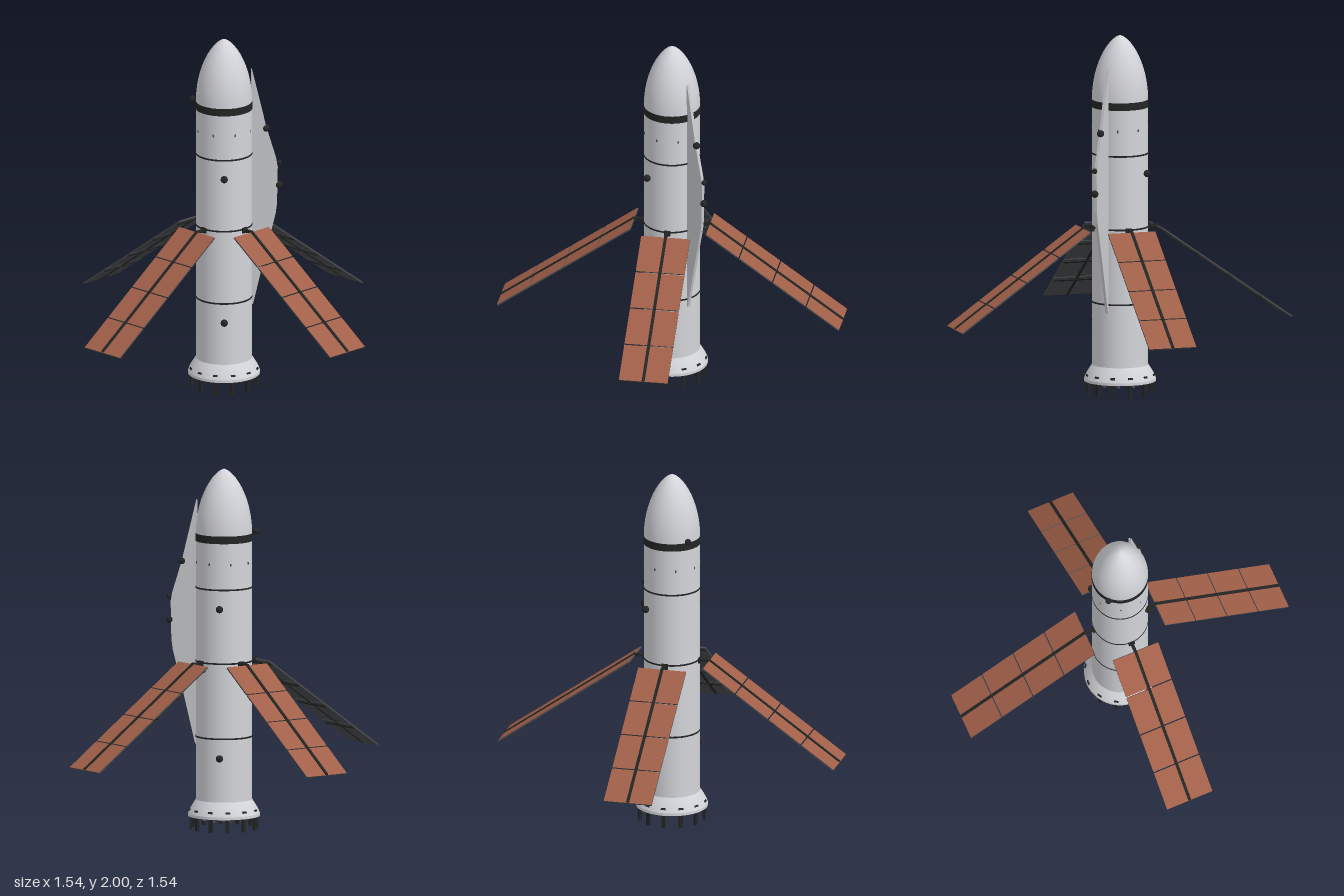
import * as THREE from 'three';

const mat = (name, color, side = THREE.FrontSide) => {
  const m = new THREE.MeshStandardMaterial({ color, side });
  m.name = name;
  return m;
};

export function createModel() {
  const root = new THREE.Group();
  root.name = 'rocket';
  const hull = mat('hull grey', 0xd4d5da);
  const finGrey = mat('fin grey', 0xc8c9cc);
  const black = mat('black', 0x232525);
  const dark = mat('dark grey', 0x4a4c50);
  const copper = mat('panel copper', 0xa05f48);
  const R = 0.155;

  const add = (parent, name, geo, material, x = 0, y = 0, z = 0) => {
    const m = new THREE.Mesh(geo, material);
    m.name = name;
    m.position.set(x, y, z);
    parent.add(m);
    return m;
  };
  const lathe = (pts) => new THREE.LatheGeometry(pts.map(([r, y]) => new THREE.Vector2(r, y)), 64);
  // n copies around the vertical axis, each in a turned holder
  const around = (n, start, build) => {
    for (let i = 0; i < n; i++) {
      const g = new THREE.Group();
      g.rotation.y = start + (i * Math.PI * 2) / n;
      build(g);
      root.add(g);
    }
  };
  const D = Math.PI / 180;

  // Hull, nose and flared skirt
  add(root, 'hull', new THREE.CylinderGeometry(R, R, 1.48, 64, 1, true), hull, 0, 0.9, 0);
  const nose = [];
  for (let i = 0; i <= 24; i++) {
    const t = Math.sin((i / 24) * Math.PI / 2);
    nose.push([R * Math.pow(Math.max(0, 1 - t * t), 0.65), 1.64 + 0.36 * t]);
  }
  add(root, 'nose', lathe(nose), hull);
  add(root, 'skirtRim', lathe([[0.198, 0.073], [0.198, 0.088]]), hull);
  add(root, 'skirt', lathe([[0.198, 0.088], [0.186, 0.115], [0.17, 0.142], [R, 0.165]]), hull);
  add(root, 'basePlate', new THREE.CylinderGeometry(0.196, 0.196, 0.006, 64), dark, 0, 0.077, 0);

  // Painted band and joint rings
  add(root, 'noseBand', new THREE.CylinderGeometry(R + 0.002, R + 0.002, 0.042, 64), black, 0, 1.623, 0);
  for (const y of [1.345, 0.935, 0.517])
    add(root, 'jointRing', new THREE.CylinderGeometry(R + 0.002, R + 0.002, 0.009, 64), black, 0, y, 0);

  // Small ports below the nose
  around(8, 22.5 * D, (g) => add(g, 'port', new THREE.BoxGeometry(0.004, 0.014, 0.008), dark, R, 1.485, 0));

  // Skirt slots and the pegs under the rim
  around(12, 15 * D, (g) => {
    const slot = add(g, 'skirtSlot', new THREE.BoxGeometry(0.008, 0.011, 0.026), black, 0.189, 0.109, 0);
    slot.rotation.z = 0.45;
    add(g, 'peg', new THREE.BoxGeometry(0.016, 0.074, 0.02), black, 0.183, 0.037, 0);
  });

  // Engine nozzles
  const nozzle = new THREE.CylinderGeometry(0.007, 0.011, 0.03, 16);
  around(8, 22.5 * D, (g) => add(g, 'nozzle', nozzle, dark, 0.112, 0.061, 0));
  around(4, 0, (g) => add(g, 'nozzle', nozzle, dark, 0.05, 0.061, 0));

  // Long side fin
  const outline = [[0.15, 0.47], [0.16, 0.47], [0.225, 0.75], [0.284, 0.99], [0.292, 1.05],
    [0.296, 1.26], [0.287, 1.31], [0.233, 1.49], [0.154, 1.825], [0.15, 1.825]];
  const finShape = new THREE.Shape(outline.map(([x, y]) => new THREE.Vector2(x, y)));
  add(root, 'sideFin', new THREE.ExtrudeGeometry(finShape, { depth: 0.016, bevelEnabled: false }), finGrey, 0, 0, -0.008);

  // Round sensors: x, y, z, radius
  const sensors = [[0.233, 1.484, 0, 0.02], [0.306, 1.285, 0, 0.015], [0.303, 1.157, 0, 0.02], [-0.175, 1.657, 0, 0.017]];
  for (const s of [1, -1]) sensors.push([0, 1.24, s * 0.168, 0.02], [0, 0.41, s * 0.168, 0.02]);
  for (const [x, y, z, r] of sensors) add(root, 'sensor', new THREE.SphereGeometry(r, 24, 16), black, x, y, z);

  // Four sloping solar wings: copper tops, dark undersides, black spar and ribs
  const length = 0.917, step = length / 4, gap = 0.007;
  const cellGeo = new THREE.BoxGeometry(step - gap, 0.008, 0.272);
  const cellMats = [dark, dark, copper, dark, dark, dark];
  around(4, 45 * D, (g) => {
    g.name = 'solarWing';
    add(g, 'wingArm', new THREE.BoxGeometry(0.08, 0.016, 0.016), black, 0.18, 0.93, 0);
    add(g, 'armFoot', new THREE.BoxGeometry(0.016, 0.03, 0.034), black, 0.158, 0.93, 0);
    const wing = new THREE.Group();
    wing.name = 'wing';
    wing.position.set(0.21, 0.933, 0);
    wing.rotation.z = -35.3 * D;
    g.add(wing);
    add(wing, 'spar', new THREE.BoxGeometry(length - 0.006, 0.018, 0.016), black, length / 2 - 0.003, -0.003, 0);
    for (let i = 0; i < 4; i++) {
      add(wing, 'solarPanel', cellGeo, cellMats, (i + 0.5) * step, -0.004, 0);
      add(wing, 'rib', new THREE.BoxGeometry(0.016, 0.008, 0.26), black, i * step + 0.03, -0.011, 0);
    }
  });

  return root;
}
